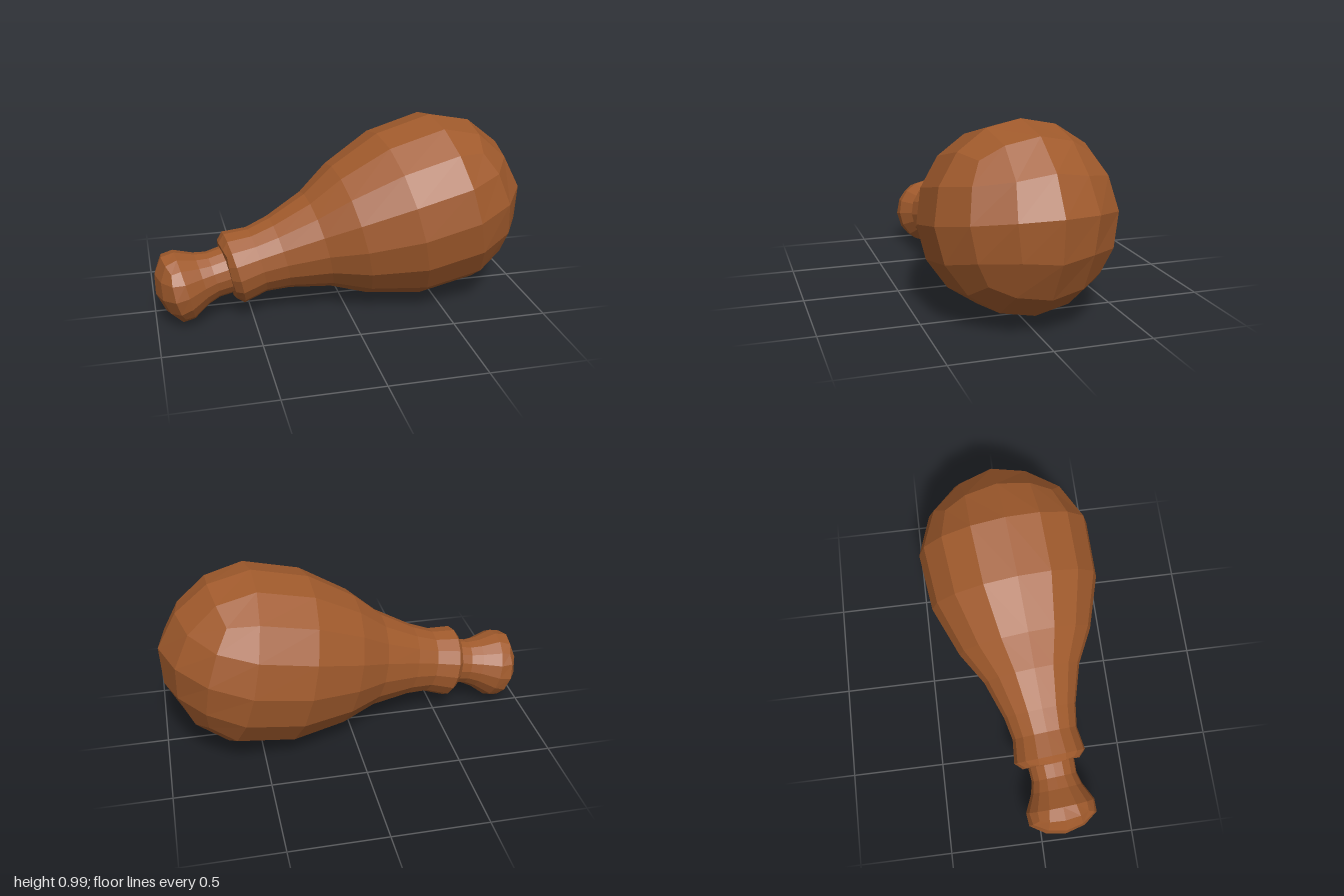
import * as THREE from 'three';

// Each profile runs from the +x pole to the -x pole as [distance along axis, radius].
const bodyProfile = [
  [0.553, 0], [0.495, 0.205], [0.357, 0.378], [0.148, 0.475], [-0.16, 0.463],
  [-0.437, 0.367], [-0.616, 0.266], [-0.827, 0.199], [-0.95, 0.178],
  [-1.077, 0.196], [-1.116, 0.157], [-1.114, 0.08], [-1.11, 0],
];
const handleProfile = [
  [-1.02, 0], [-1.02, 0.06], [-1.03, 0.12], [-1.118, 0.127], [-1.19, 0.124],
  [-1.253, 0.141], [-1.347, 0.188], [-1.417, 0.186], [-1.473, 0.107], [-1.496, 0],
];

// Radius and distance at a fractional position in the profile
function sample(profile, e) {
  const i = Math.min(Math.floor(e), profile.length - 2), t = e - i;
  return [0, 1].map((c) => profile[i][c] * (1 - t) + profile[i + 1][c] * t);
}

// A turned form of 16 sides whose domed ends are 4 x 4 quad grids
function turnedForm(profile) {
  const n = profile.length - 5, last = profile.length - 1;
  const box = new THREE.BoxGeometry(n, 4, 4, n, 4, 4);
  const pos = box.attributes.position;
  for (let v = 0; v < pos.count; v++) {
    const x = pos.getX(v), y = Math.round(pos.getY(v)), z = Math.round(pos.getZ(v));
    const k = Math.max(Math.abs(y), Math.abs(z));
    const low = Math.min(Math.abs(y), Math.abs(z));
    let e = Math.round(k < 2 ? (x > 0 ? k : last - k) : 2 + n / 2 - x);
    let angle = Math.atan2(z, y);
    const onCap = e <= 2 || e >= last - 2;
    if (onCap && k > 0) {
      // grid corners lie further round the dome
      const slip = low === k ? 0.3 : low > 0 ? 0.1 : 0;
      e += e <= 2 ? slip : -slip;
    } else if (k > 0) {
      angle = Math.round(angle / (Math.PI / 8)) * (Math.PI / 8);
    }
    const [s, r] = sample(profile, e);
    pos.setXYZ(v, s, r * Math.cos(angle), r * Math.sin(angle));
  }
  // faceted normals
  const geometry = box.toNonIndexed();
  geometry.clearGroups();
  geometry.computeVertexNormals();
  return geometry;
}

export function createModel() {
  const wood = new THREE.MeshStandardMaterial({ color: 0xa05a2c });
  wood.name = 'brown wood';

  const group = new THREE.Group();
  group.name = 'club';
  for (const [name, profile] of [['clubHead', bodyProfile], ['handleWithKnob', handleProfile]]) {
    const mesh = new THREE.Mesh(turnedForm(profile), wood);
    mesh.name = name;
    group.add(mesh);
  }

  // Lean the axis so the head is raised and the knob rests near the ground
  const axis = new THREE.Vector3(1, 0.225, -0.088).normalize();
  group.quaternion.setFromUnitVectors(new THREE.Vector3(1, 0, 0), axis);
  group.position.set(0.46, 0.499, -0.001);

  const model = new THREE.Group();
  model.name = 'model';
  model.add(group);
  return model;
}
